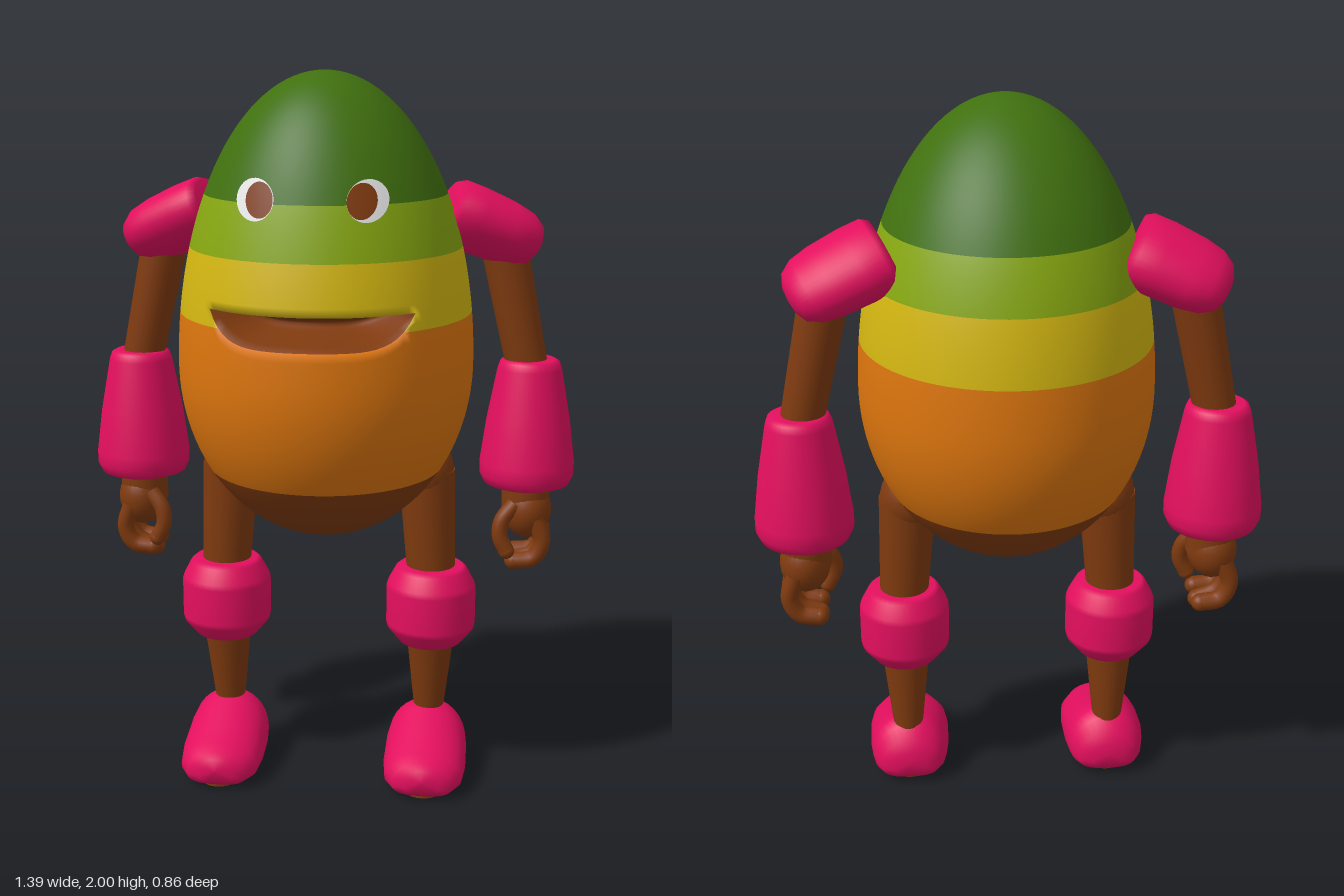
import * as THREE from 'three';
import { mergeVertices } from 'three/addons/utils/BufferGeometryUtils.js';

const mat = (name, color) => {
  const m = new THREE.MeshStandardMaterial({ color });
  m.name = name;
  return m;
};
const V = (x, y, z) => new THREE.Vector3(x, y, z);

// Egg surface: depth radius and forward lean at a given height
const WIDTH = 0.94;
const eggRadius = y => 0.43 * Math.sqrt(Math.max(0, 1 - ((y - 1.22) / (y > 1.22 ? 0.78 : 0.49)) ** 2));
const eggLean = y => (y > 1.5 ? 0.035 * ((y - 1.5) / 0.5) ** 2 : 0);

// Grid of rings joined into a surface; rings run counter-clockwise seen from the far end
function stitch(index, base, rows, n) {
  for (let i = 0; i < rows; i++) for (let j = 0; j < n; j++) {
    const a = base + i * n + j, b = base + i * n + (j + 1) % n;
    index.push(a, b, a + n, b, b + n, a + n);
  }
}

function surface(pos, index) {
  const g = new THREE.BufferGeometry();
  g.setAttribute('position', new THREE.Float32BufferAttribute(pos, 3));
  g.setIndex(index);
  return g;
}

// Egg in colour bands, with a mouth opening folded inwards
function bodyGeometry() {
  const N = 128, corner = 15 * 2 * Math.PI / N, top = 1.41;
  const open = a => Math.max(0, 1 - Math.abs(a / corner) ** 5);
  const lip = a => top - 0.088 * open(a);
  const seam = a => Math.min(1.365, lip(a));
  const flat = y => () => y;
  const bands = [
    { lo: flat(0.73), hi: flat(0.93), rows: 14, ease: t => t * t },
    { lo: flat(0.93), hi: seam, rows: 16 },
    { lo: seam, hi: lip, rows: 2 },
    { lo: lip, hi: flat(top), rows: 12, depth: 0.17 },
    { lo: flat(top), hi: flat(1.54), rows: 6 },
    { lo: flat(1.54), hi: flat(1.68), rows: 6 },
    { lo: flat(1.68), hi: flat(2), rows: 18, ease: t => 1 - (1 - t) ** 2 },
  ];
  const pos = [], index = [], groups = [];
  bands.forEach(({ lo, hi, rows, ease = t => t, depth = 0 }, k) => {
    const base = pos.length / 3, start = index.length;
    for (let i = 0; i <= rows; i++) for (let j = 0; j < N; j++) {
      const a = (j - N / 2) * 2 * Math.PI / N, t = i / rows;
      const y = THREE.MathUtils.lerp(lo(a), hi(a), ease(t));
      const r = eggRadius(y) - depth * Math.sin(Math.PI * t) * Math.sqrt(open(a));
      pos.push(WIDTH * r * Math.sin(a), y, r * Math.cos(a) + eggLean(y));
    }
    stitch(index, base, rows, N);
    groups.push([start, index.length - start, k]);
  });
  const g = mergeVertices(surface(pos, index), 1e-4);
  groups.forEach(q => g.addGroup(...q));
  g.computeVertexNormals();
  return g;
}

// Oval laid onto the front of the egg
function eyePatch(cx, cy, rx, ry, lift) {
  const g = new THREE.RingGeometry(0.001, 1, 36, 4), p = g.attributes.position;
  for (let i = 0; i < p.count; i++) {
    const x = cx + p.getX(i) * rx, y = cy + p.getY(i) * ry, r = eggRadius(y);
    p.setXYZ(i, x, y, r * Math.sqrt(1 - (x / (WIDTH * r)) ** 2) + eggLean(y) + lift);
  }
  g.computeVertexNormals();
  return g;
}

// Shoe lofted from heel to toe; each station is z, half width, bottom, top
function shoeGeometry() {
  const stations = [
    [-0.147, 0.001, 0.07, 0.072], [-0.145, 0.05, 0.035, 0.11], [-0.13, 0.085, 0.017, 0.145],
    [-0.1, 0.104, 0.008, 0.18], [-0.065, 0.112, 0.006, 0.195], [-0.02, 0.117, 0.006, 0.182],
    [0.08, 0.118, 0.006, 0.145], [0.15, 0.11, 0.006, 0.122], [0.195, 0.085, 0.01, 0.11],
    [0.213, 0.05, 0.025, 0.095], [0.217, 0.001, 0.06, 0.062],
  ];
  const N = 32, pos = [], index = [];
  for (const [z, w, y0, y1] of stations) {
    const mid = y0 + 0.36 * (y1 - y0);
    for (let j = 0; j < N; j++) {
      const a = j / N * 2 * Math.PI, c = Math.cos(a), s = Math.sin(a);
      const x = w * Math.sign(c) * Math.abs(c) ** (s < 0 ? 0.7 : 1);
      pos.push(x, s < 0 ? mid - (mid - y0) * Math.abs(s) ** 0.7 : mid + (y1 - mid) * s, z);
    }
  }
  stitch(index, 0, stations.length - 1, N);
  const g = surface(pos, index);
  g.computeVertexNormals();
  return g;
}

const lathe = pts => new THREE.LatheGeometry(pts.map(p => new THREE.Vector2(...p)), 40);

export function createModel() {
  const model = new THREE.Group();
  model.name = 'eggCharacter';
  const brown = mat('brown', 0x7f3a0f), orange = mat('orange', 0xdc750e), yellow = mat('yellow', 0xd3b611);
  const lime = mat('lime', 0x86a611), green = mat('green', 0x40700f);
  const pink = mat('pink', 0xe30f5e), white = mat('white', 0xe8e8e8);

  const add = (parent, name, geo, material, at) => {
    const m = new THREE.Mesh(geo, material);
    m.name = name;
    if (at) m.position.copy(at);
    parent.add(m);
    return m;
  };
  // Tapered cylinder between two points
  const limb = (parent, name, a, b, ra, rb) => {
    const d = b.clone().sub(a);
    const m = add(parent, name, new THREE.CylinderGeometry(rb, ra, d.length(), 28), brown, a.clone().add(b).multiplyScalar(0.5));
    m.quaternion.setFromUnitVectors(V(0, 1, 0), d.normalize());
  };
  const ball = (parent, name, at, rx, ry, rz) =>
    add(parent, name, new THREE.SphereGeometry(1, 24, 16), brown, at).scale.set(rx, ry, rz);
  // Finger with a round tip
  const finger = (parent, name, pts, r) => {
    add(parent, name, new THREE.TubeGeometry(new THREE.CatmullRomCurve3(pts), 14, r, 12), brown);
    ball(parent, name + 'Tip', pts[pts.length - 1], r, r, r);
  };

  add(model, 'body', bodyGeometry(), [brown, orange, yellow, brown, yellow, lime, green]);

  for (const s of [1, -1]) {
    const side = s > 0 ? 'left' : 'right';
    const P = (x, y, z) => V(s * x, y, z);

    // Eyes
    add(model, side + 'EyeWhite', eyePatch(s * 0.142, 1.69, 0.051, 0.052, 0.006), white);
    add(model, side + 'Iris', eyePatch(s * 0.129, 1.69, 0.037, 0.044, 0.011), brown);

    // Arm: shoulder pad, upper arm, bracer
    const arm = new THREE.Group();
    arm.name = side + 'Arm';
    model.add(arm);
    const pad = add(arm, 'shoulderPad', lathe([[0, 0], [0.11, 0], [0.127, 0.02], [0.13, 0.08], [0.124, 0.17],
      [0.112, 0.225], [0.085, 0.26], [0.045, 0.275], [0, 0.278]]), pink, P(0.32, 1.63, -0.095));
    pad.quaternion.setFromUnitVectors(V(0, 1, 0), P(0.26, -0.115, -0.06).normalize());
    pad.scale.set(0.7, 1, 1);
    limb(arm, 'upperArm', P(0.555, 1.17, -0.145), P(0.475, 1.54, -0.145), 0.058, 0.065);
    add(arm, 'bracer', lathe([[0, 0.84], [0.1, 0.84], [0.122, 0.848], [0.134, 0.875], [0.134, 0.91], [0.118, 1.03],
      [0.09, 1.18], [0.083, 1.2], [0.07, 1.207], [0, 1.207]]), pink, P(0.56, 0, -0.147));

    // Hand with curled fingers
    limb(arm, 'wrist', P(0.56, 0.76, -0.147), P(0.56, 0.86, -0.147), 0.068, 0.068);
    ball(arm, 'palm', P(0.565, 0.765, -0.147), 0.07, 0.085, 0.078);
    [-0.1, -0.15, -0.2].forEach((z, i) => finger(arm, 'finger' + (i + 1), [
      P(0.59, 0.75, z), P(0.61, 0.68, z), P(0.585, 0.63, z), P(0.53, 0.605 + (i === 1 ? 0 : 0.015), z)], 0.025));
    finger(arm, 'thumb', [P(0.53, 0.79, -0.1), P(0.495, 0.745, -0.085), P(0.49, 0.7, -0.08), P(0.51, 0.655, -0.08)], 0.023);

    // Leg: hip, thigh, knee pad, shin
    const leg = new THREE.Group();
    leg.name = side + 'Leg';
    model.add(leg);
    ball(leg, 'hip', P(0.275, 0.9, -0.045), 0.082, 0.1, 0.085);
    limb(leg, 'thigh', P(0.298, 0.58, -0.045), P(0.28, 0.9, -0.045), 0.068, 0.08);
    add(leg, 'kneePad', lathe([[0, 0.385], [0.075, 0.385], [0.09, 0.392], [0.125, 0.435], [0.128, 0.45], [0.128, 0.555],
      [0.123, 0.57], [0.102, 0.61], [0.09, 0.62], [0, 0.62]]), pink, P(0.298, 0, -0.042));
    limb(leg, 'shin', P(0.296, 0.16, -0.066), P(0.298, 0.4, -0.048), 0.042, 0.068);

    // Shoe and sole
    add(leg, 'shoe', shoeGeometry(), pink, P(0.294, 0, 0));
    add(leg, 'sole', new THREE.CylinderGeometry(1, 1, 0.008, 36), brown, P(0.294, 0.004, 0.04)).scale.set(0.085, 1, 0.15);
  }
  return model;
}
